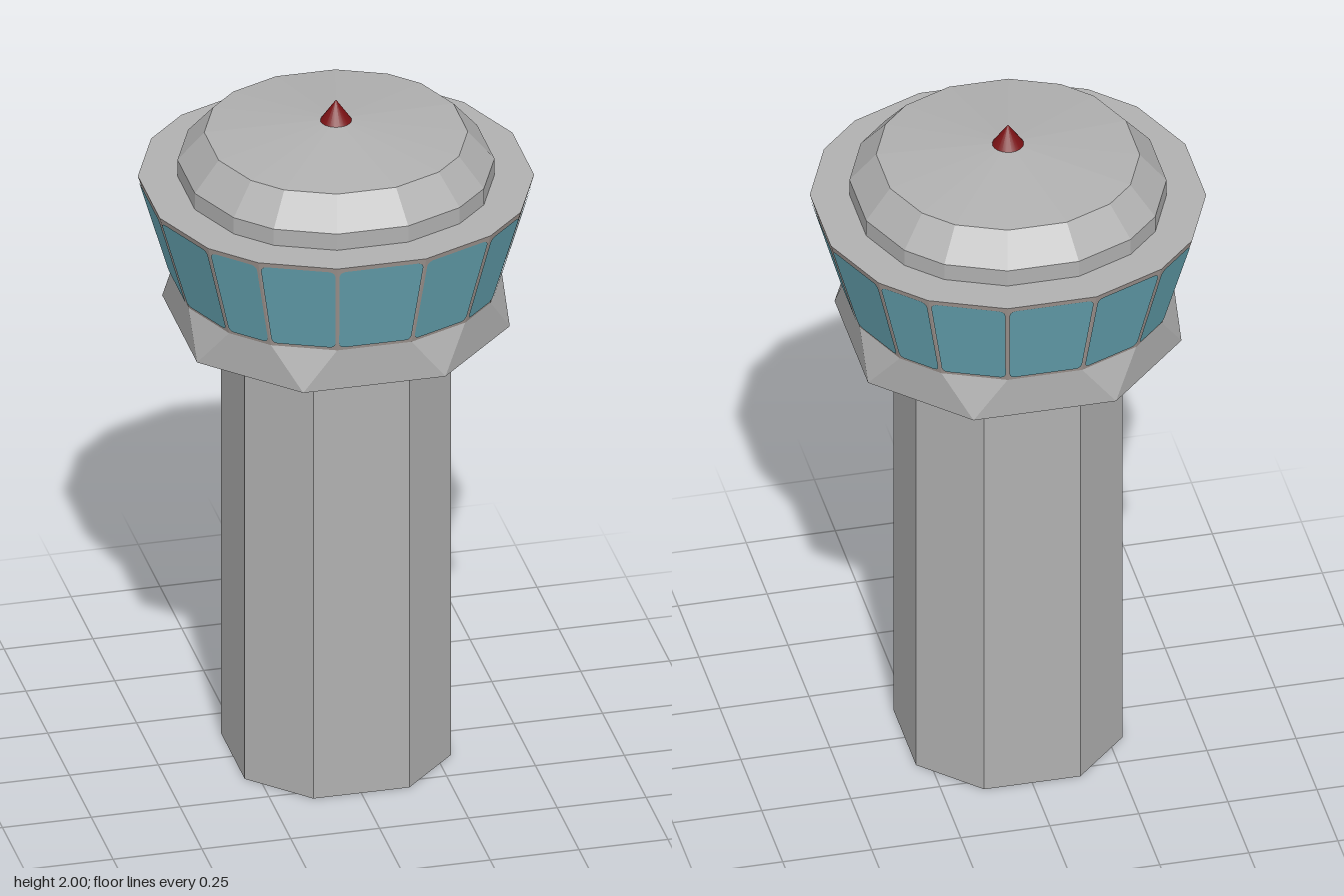
import * as THREE from 'three';

// Turns one quadrant of [x, z] points into a full ring, counter-clockwise from above
function ring(quadrant, y, scale = 1) {
  const points = [];
  for (let k = 0; k < 4; k++) {
    for (const [px, pz] of quadrant) {
      let x = px * scale, z = pz * scale;
      for (let r = 0; r < k; r++) [x, z] = [z, -x];
      points.push(new THREE.Vector3(x, y, z));
    }
  }
  return points;
}

// Faceted geometry from triangles, dropping collapsed ones
function facets(triangles) {
  const positions = [];
  for (const [a, b, c] of triangles) {
    const area = b.clone().sub(a).cross(c.clone().sub(a)).length();
    if (area < 1e-8) continue;
    for (const p of [a, b, c]) positions.push(p.x, p.y, p.z);
  }
  const geometry = new THREE.BufferGeometry();
  geometry.setAttribute('position', new THREE.Float32BufferAttribute(positions, 3));
  geometry.computeVertexNormals();
  return geometry;
}

// Skins a stack of rings; optional caps, with the top cap peaking at topY
function loft(rings, { bottom = false, topY = null } = {}) {
  const triangles = [];
  const n = rings[0].length;
  const first = rings[0], last = rings[rings.length - 1];
  for (let i = 0; i < n; i++) {
    const j = (i + 1) % n;
    for (let r = 0; r + 1 < rings.length; r++) {
      const low = rings[r], high = rings[r + 1];
      triangles.push([low[i], low[j], high[j]], [low[i], high[j], high[i]]);
    }
    if (bottom) triangles.push([new THREE.Vector3(0, first[0].y, 0), first[j], first[i]]);
    if (topY !== null) triangles.push([new THREE.Vector3(0, topY, 0), last[i], last[j]]);
  }
  return facets(triangles);
}

// Rounded pane laid just in front of the facet a, b (low) and d, c (high)
function pane(a, b, c, d) {
  const normal = b.clone().sub(a).cross(d.clone().sub(a)).normalize();
  const width = (a.distanceTo(b) + c.distanceTo(d)) / 2;
  const height = a.distanceTo(d);
  const at = (u, v) => a.clone().lerp(b, u)
    .lerp(d.clone().lerp(c, u), v).addScaledVector(normal, 0.003);
  const side = 0.005 / width, edge = 0.012 / height;
  const ru = 0.016 / width, rv = 0.016 / height;
  const outline = [];
  [[1, 0], [1, 1], [0, 1], [0, 0]].forEach(([cu, cv], k) => {
    const u = cu ? 1 - side - ru : side + ru;
    const v = cv ? 1 - edge - rv : edge + rv;
    for (let s = 0; s <= 3; s++) {
      const t = (k - 1 + s / 3) * Math.PI / 2;
      outline.push(at(u + ru * Math.cos(t), v + rv * Math.sin(t)));
    }
  });
  const centre = at(0.5, 0.5);
  return outline.map((p, i) => [centre, p, outline[(i + 1) % outline.length]]);
}

export function createModel() {
  const model = new THREE.Group();
  model.name = 'controlTower';

  const material = (name, color) => {
    const m = new THREE.MeshStandardMaterial({ color });
    m.name = name;
    return m;
  };
  const concrete = material('concrete grey', 0xb0b0b0);
  const frame = material('frame grey', 0xa89e99);
  const glass = material('teal glass', 0x69a9b7);
  const red = material('dark red', 0x7a1114);

  const add = (name, geometry, mat) => {
    const mesh = new THREE.Mesh(geometry, mat);
    mesh.name = name;
    model.add(mesh);
    return mesh;
  };

  // Plan outlines: sixteen-sided cabin, eight-sided column and collar base
  const cabin = [[0.527, -0.125], [0.44, -0.327], [0.327, -0.44], [0.125, -0.527]];
  const column = [[0.29, -0.135], [0.135, -0.29]];
  const collar = [[0.44, -0.2], [0.44, -0.2], [0.2, -0.44], [0.2, -0.44]];
  const waist = 0.836, sillY = 1.465, rimY = 1.765;

  add('column', loft([ring(column, 0), ring(column, 1.345)], { bottom: true }), concrete);

  // Collar blends from eight sides to sixteen
  const sill = ring(cabin, sillY, waist);
  const rim = ring(cabin, rimY);
  add('collar', loft([ring(collar, 1.345), sill], { bottom: true }), concrete);

  // Flared cabin wall with one pane on every facet
  add('cabinFrame', loft([sill, rim]), frame);
  const panes = [];
  sill.forEach((a, i) => {
    const j = (i + 1) % sill.length;
    panes.push(...pane(a, sill[j], rim[j], rim[i]));
  });
  add('windows', facets(panes), glass);

  // Flat deck, then the stepped roof
  add('roofDeck', loft([rim], { topY: rimY }), concrete);
  add('roof', loft([
    ring(cabin, rimY, 0.8), ring(cabin, 1.815, 0.8), ring(cabin, 1.9, 0.665),
  ], { topY: 1.942 }), concrete);

  // Beacon on the peak
  const beacon = add('beacon', new THREE.ConeGeometry(0.048, 0.07, 20), red);
  beacon.position.y = 1.965;

  return model;
}
